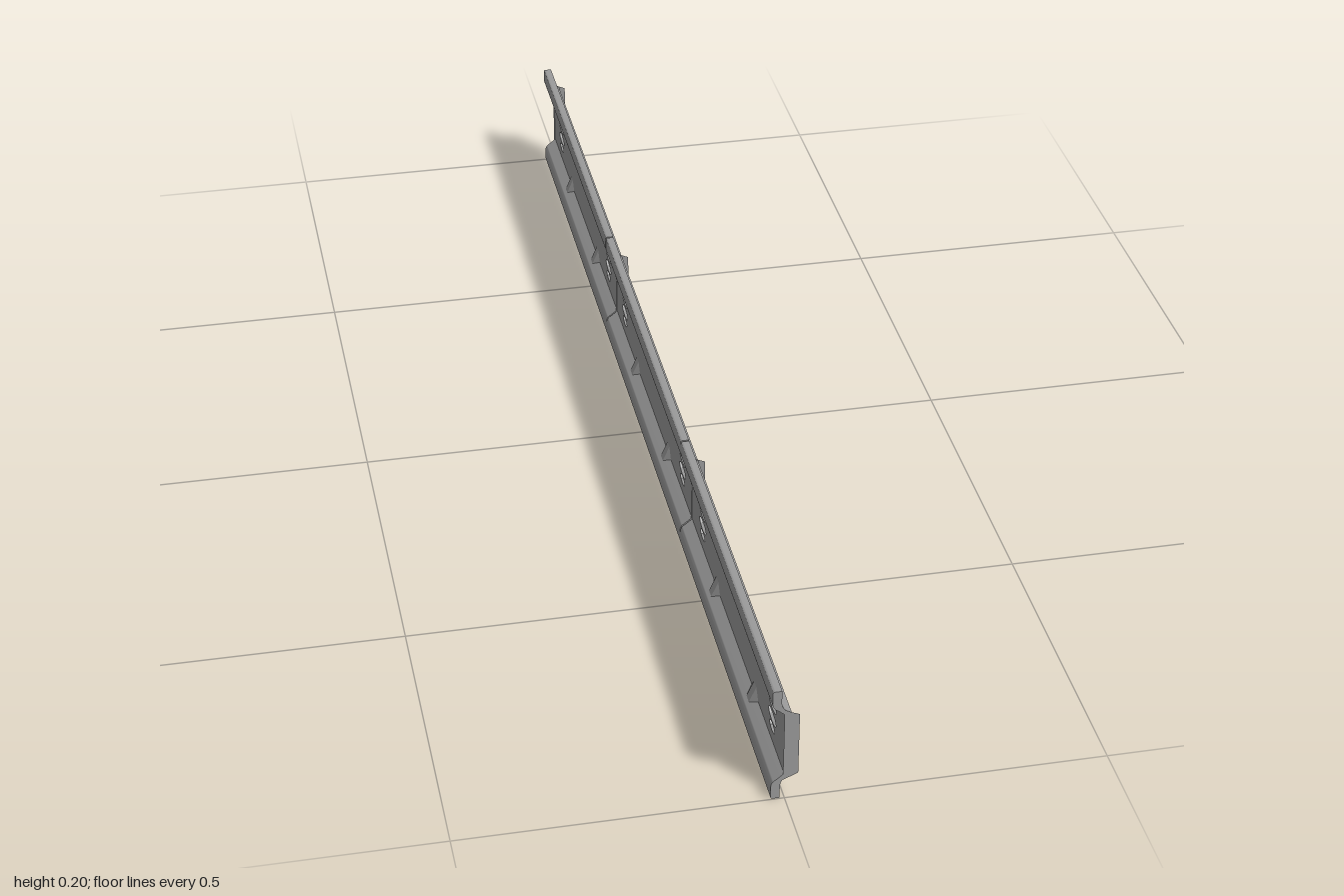
import * as THREE from 'three';
import { toCreasedNormals } from 'three/addons/utils/BufferGeometryUtils.js';
import { ConvexGeometry } from 'three/addons/geometries/ConvexGeometry.js';

const H = 0.2;            // overall height
const SEG = 2 / 3;        // length of one section
const FRONT = 0.004;      // front face of the web
const BACK = -0.001;      // rear face of the web
const material = new THREE.MeshStandardMaterial({ color: 0x9b9b9b });
const sheetMaterial = new THREE.MeshStandardMaterial({ color: 0x9b9b9b, side: THREE.DoubleSide });

// Pressed cups of one clip: centre height, half height, half length
const CUPS = [
  { y: 0.069, ry: 0.008, rz: 0.019 },
  { y: 0.088, ry: 0.010, rz: 0.028 },
  { y: 0.112, ry: 0.010, rz: 0.028 },
  { y: 0.131, ry: 0.008, rz: 0.019 },
];

function part(name, geometry, parent, mat = material) {
  const mesh = new THREE.Mesh(geometry, mat);
  mesh.name = name;
  parent.add(mesh);
  return mesh;
}

function polygon(points) {
  return new THREE.Shape(points.map(([x, y]) => new THREE.Vector2(x, y)));
}

// Folded lip with a curved slope down to the web; flip gives the lower one
function lipGeometry(flip, length) {
  const y = v => (flip ? H - v : v);
  const s = new THREE.Shape();
  s.moveTo(-0.007, y(0.2));
  s.lineTo(-0.007, y(0.18));
  s.quadraticCurveTo(-0.007, y(0.167), 0.001, y(0.163));
  s.lineTo(0.008, y(0.159));
  s.lineTo(0.008, y(0.155));
  s.lineTo(BACK, y(0.155));
  s.lineTo(-0.012, y(0.164));
  s.quadraticCurveTo(-0.021, y(0.169), -0.021, y(0.178));
  s.lineTo(-0.021, y(0.196));
  s.quadraticCurveTo(-0.021, y(0.2), -0.017, y(0.2));
  const g = new THREE.ExtrudeGeometry(s, { depth: length, bevelEnabled: false, curveSegments: 6 });
  return toCreasedNormals(g.translate(0, 0, -length / 2), 0.6);
}

// Hollow eight-sided cup pressed forward out of the web, open to the rear
function cupGeometry({ y, ry, rz }) {
  const profile = [[1, 0], [0.7, 0.009], [0, 0.011]].map(([r, h]) => new THREE.Vector2(r, h));
  const g = new THREE.LatheGeometry(profile, 8).rotateZ(-Math.PI / 2).scale(1, ry, rz);
  return toCreasedNormals(g.translate(BACK, y, 0), 0.3);
}

// Web plate drawn in (z, y), open behind the cups and notched at the gussets
function webGeometry(clipOffset, gussetOffset) {
  const half = SEG / 2;
  const web = polygon([[-half, 0.043], [half, 0.043], [half, 0.157], [-half, 0.157]]);
  for (const side of [-1, 1]) {
    for (const { y, ry, rz } of CUPS) {
      const ring = [];
      for (let i = 0; i < 8; i++) {
        const a = i * Math.PI / 4;
        ring.push([side * clipOffset + 0.9 * rz * Math.cos(a), y + 0.9 * ry * Math.sin(a)]);
      }
      web.holes.push(polygon(ring));
    }
    for (const flip of [false, true]) {
      const z = side * gussetOffset, y = v => (flip ? H - v : v);
      web.holes.push(polygon([[z - 0.012, y(0.15)], [z - 0.006, y(0.141)],
        [z + 0.006, y(0.141)], [z + 0.012, y(0.15)]]));
    }
  }
  return new THREE.ExtrudeGeometry(web, { depth: FRONT - BACK, bevelEnabled: false })
    .rotateY(-Math.PI / 2).translate(FRONT, 0, 0);
}

// Pressed stiffener between the rear of the web and the slope
function gussetGeometry(flip) {
  const p = (x, v, z) => new THREE.Vector3(x, flip ? H - v : v, z);
  return new ConvexGeometry([
    p(-0.014, 0.168, -0.008), p(-0.014, 0.168, 0.008),
    p(BACK, 0.138, -0.008), p(BACK, 0.138, 0.008),
    p(BACK, 0.157, -0.024), p(BACK, 0.157, 0.024),
  ]);
}

function createSection(clipOffset, gussetOffset) {
  const section = new THREE.Group();
  part('web', webGeometry(clipOffset, gussetOffset), section);

  // Lips, with a hairline gap at the joints
  part('upperLip', lipGeometry(false, SEG - 0.003), section);
  part('lowerLip', lipGeometry(true, SEG - 0.003), section);

  for (const side of [-1, 1]) {
    // Clip of pressed cups
    const clip = new THREE.Group();
    clip.name = 'clip';
    clip.position.z = side * clipOffset;
    for (const cup of CUPS) part('cup', cupGeometry(cup), clip, sheetMaterial);
    section.add(clip);

    for (const flip of [false, true]) {
      part('gusset', gussetGeometry(flip), section).position.z = side * gussetOffset;
    }
  }
  return section;
}

export function createModel() {
  const model = new THREE.Group();
  model.name = 'channelRail';
  const names = ['rearSection', 'middleSection', 'frontSection'];
  names.forEach((name, i) => {
    const section = createSection(i === 1 ? 0.255 : 0.25, 0.137);
    section.name = name;
    section.position.z = (i - 1) * SEG;
    model.add(section);
  });

  // Thin flanges turned forward at the ends and joints
  const flange = polygon([[-0.003, 0.165], [0.02, 0.155], [0.02, 0.045], [-0.003, 0.035]]);
  for (let i = 0; i <= 3; i++) {
    part('flange', new THREE.ShapeGeometry(flange), model, sheetMaterial).position.z = -1 + i * SEG;
  }
  return model;
}
